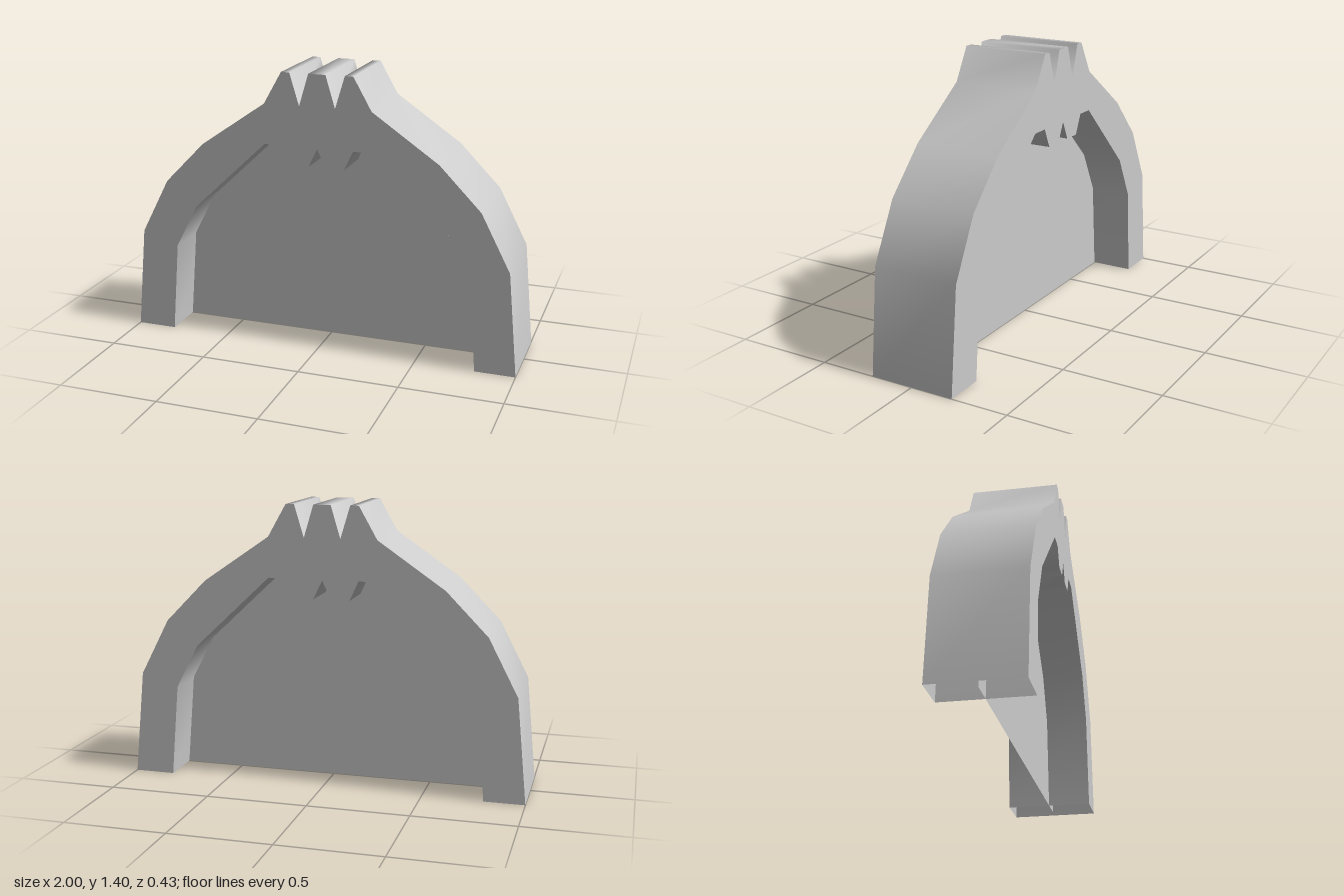
import * as THREE from 'three';

const DEPTH = 0.434;

// Half profiles, from the foot up to the centre line
const OUTER = [[1, 0], [0.95, 0.52], [0.805, 0.8], [0.6, 1.01], [0.27, 1.237],
  [0.18, 1.396], [0.138, 1.396], [0.09, 1.237], [0.043, 1.396]];
const INNER = [[0.8, 0], [0.762, 0.46], [0.648, 0.68], [0.45, 0.868], [0.27, 1.038],
  [0.18, 1.038], [0.135, 0.942], [0.045, 0.942], [0, 1.035]];
// The web runs on into the hollow arch, just short of its outer wall
const WEB = [[0.937, 0], [0.89, 0.5], [0.75, 0.765], [0.56, 0.96], [0.25, 1.18]];

// Mirror a half profile into a full one, running from +x over to -x
function mirrored(half) {
  const right = half.map(([x, y]) => new THREE.Vector2(x, y));
  const left = right.filter((p) => p.x > 0).map((p) => new THREE.Vector2(-p.x, p.y)).reverse();
  return [...right, ...left];
}

// Smooth wall swept through the depth along a profile
function wall(path) {
  const positions = [], index = [];
  path.forEach((p, i) => {
    positions.push(p.x, p.y, -DEPTH / 2, p.x, p.y, DEPTH / 2);
    if (i < path.length - 1) {
      const a = 2 * i;
      index.push(a, a + 2, a + 1, a + 1, a + 2, a + 3);
    }
  });
  const geometry = new THREE.BufferGeometry();
  geometry.setAttribute('position', new THREE.Float32BufferAttribute(positions, 3));
  geometry.setIndex(index);
  geometry.computeVertexNormals();
  return geometry;
}

export function createModel() {
  const group = new THREE.Group();
  group.name = 'arch';
  const material = new THREE.MeshStandardMaterial({ color: 0xcccccc, side: THREE.DoubleSide });
  const add = (name, geometry) => {
    const mesh = new THREE.Mesh(geometry, material);
    mesh.name = name;
    group.add(mesh);
    return mesh;
  };

  const outer = mirrored(OUTER);
  const innerBack = mirrored(INNER).reverse();

  // Outer and inner walls; the feet stay open underneath
  add('outerWall', wall(outer));
  add('innerWall', wall(innerBack));

  // Flat front and back faces of the arch
  const face = new THREE.ShapeGeometry(new THREE.Shape([...outer, ...innerBack]));
  add('frontFace', face).position.z = DEPTH / 2;
  const back = add('backFace', face);
  back.position.z = -DEPTH / 2;
  back.rotation.y = Math.PI;

  // Thin web closing the opening at mid depth
  add('web', new THREE.ShapeGeometry(new THREE.Shape(mirrored(WEB))));

  return group;
}
